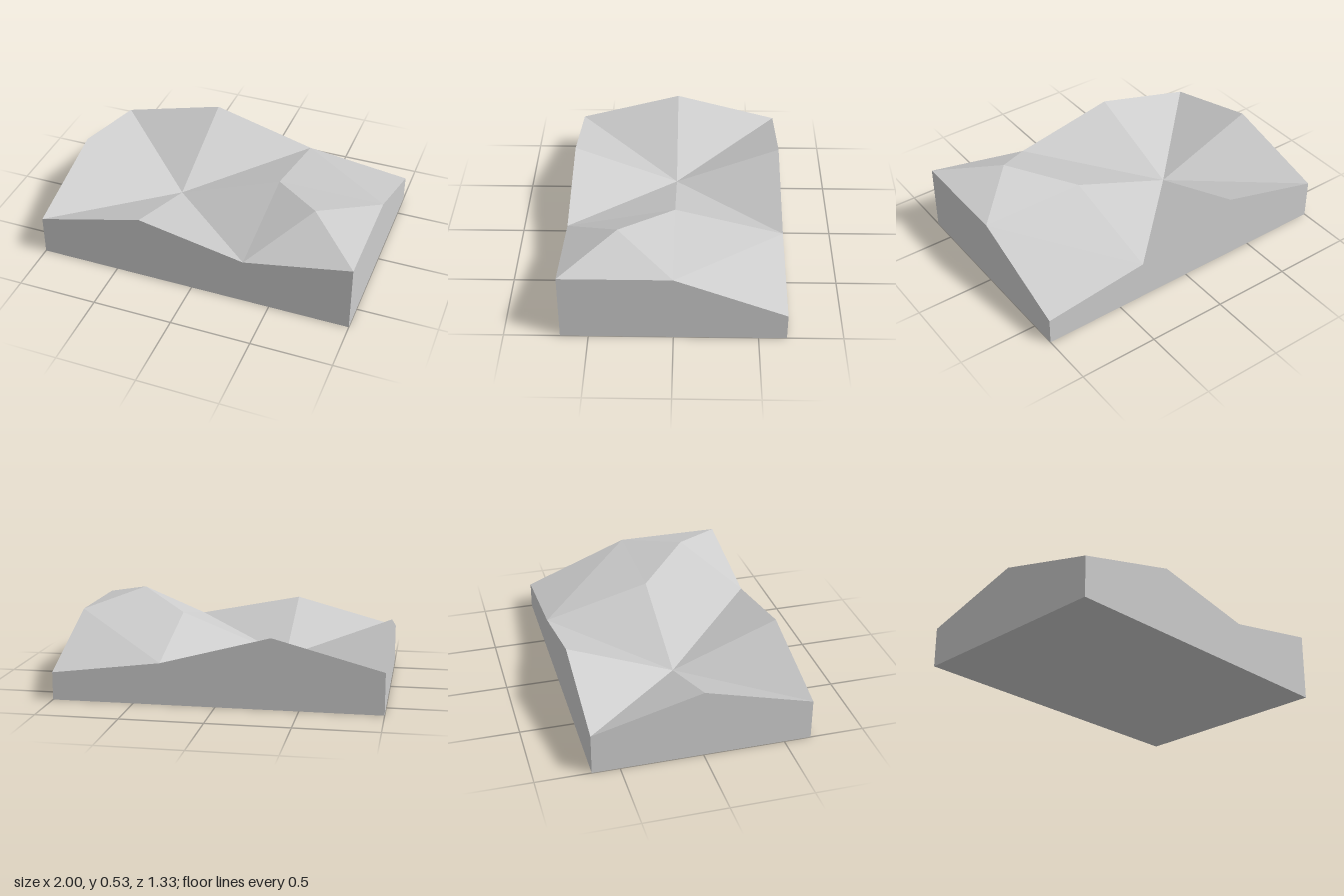
import * as THREE from 'three';

export function createModel() {
  const model = new THREE.Group();
  model.name = 'terrainTile';
  const stone = new THREE.MeshStandardMaterial({ color: 0xcccccc });
  stone.name = 'light grey';
  stone.flatShading = true;

  // Corner heights of a 3 x 2 grid of square cells; rows run back to front
  const heights = [
    [0.255, 0.433, 0.255, 0.17],
    [0.433, 0.17, 0.433, 0.433],
    [0.255, 0.433, 0.3, 0.433],
  ];
  const cell = 2 / 3;
  const top = (i, j) => [-1 + i * cell, heights[j][i], (j - 1) * cell];
  const floor = ([x, , z]) => [x, 0, z];

  function addPart(name, triangles) {
    const geometry = new THREE.BufferGeometry();
    geometry.setAttribute('position', new THREE.Float32BufferAttribute(triangles.flat(2), 3));
    geometry.computeVertexNormals();
    const mesh = new THREE.Mesh(geometry, stone);
    mesh.name = name;
    model.add(mesh);
  }

  // Faceted ground: diagonals alternate, the front right cell rises to a peak
  const ground = [];
  for (let j = 0; j < 2; j++) {
    for (let i = 0; i < 3; i++) {
      const a = top(i, j), b = top(i, j + 1), c = top(i + 1, j + 1), d = top(i + 1, j);
      if (i === 2 && j === 1) {
        const peak = [2 / 3, 0.533, 1 / 3];
        ground.push([a, b, peak], [b, c, peak], [c, d, peak], [d, a, peak]);
      } else if ((i + j) % 2 === 0) {
        ground.push([a, b, c], [a, c, d]);
      } else {
        ground.push([a, b, d], [b, c, d]);
      }
    }
  }
  addPart('ground', ground);

  // Side walls follow the rim, anticlockwise seen from above
  const rim = [];
  for (let i = 0; i < 3; i++) rim.push(top(i, 2));
  for (let j = 2; j > 0; j--) rim.push(top(3, j));
  for (let i = 3; i > 0; i--) rim.push(top(i, 0));
  for (let j = 0; j < 2; j++) rim.push(top(0, j));
  const walls = [];
  rim.forEach((p, k) => {
    const q = rim[(k + 1) % rim.length];
    walls.push([floor(p), floor(q), q], [floor(p), q, p]);
  });
  addPart('walls', walls);

  // Flat underside
  const [a, b, c, d] = [top(0, 0), top(3, 0), top(3, 2), top(0, 2)].map(floor);
  addPart('underside', [[a, b, c], [a, c, d]]);

  return model;
}
